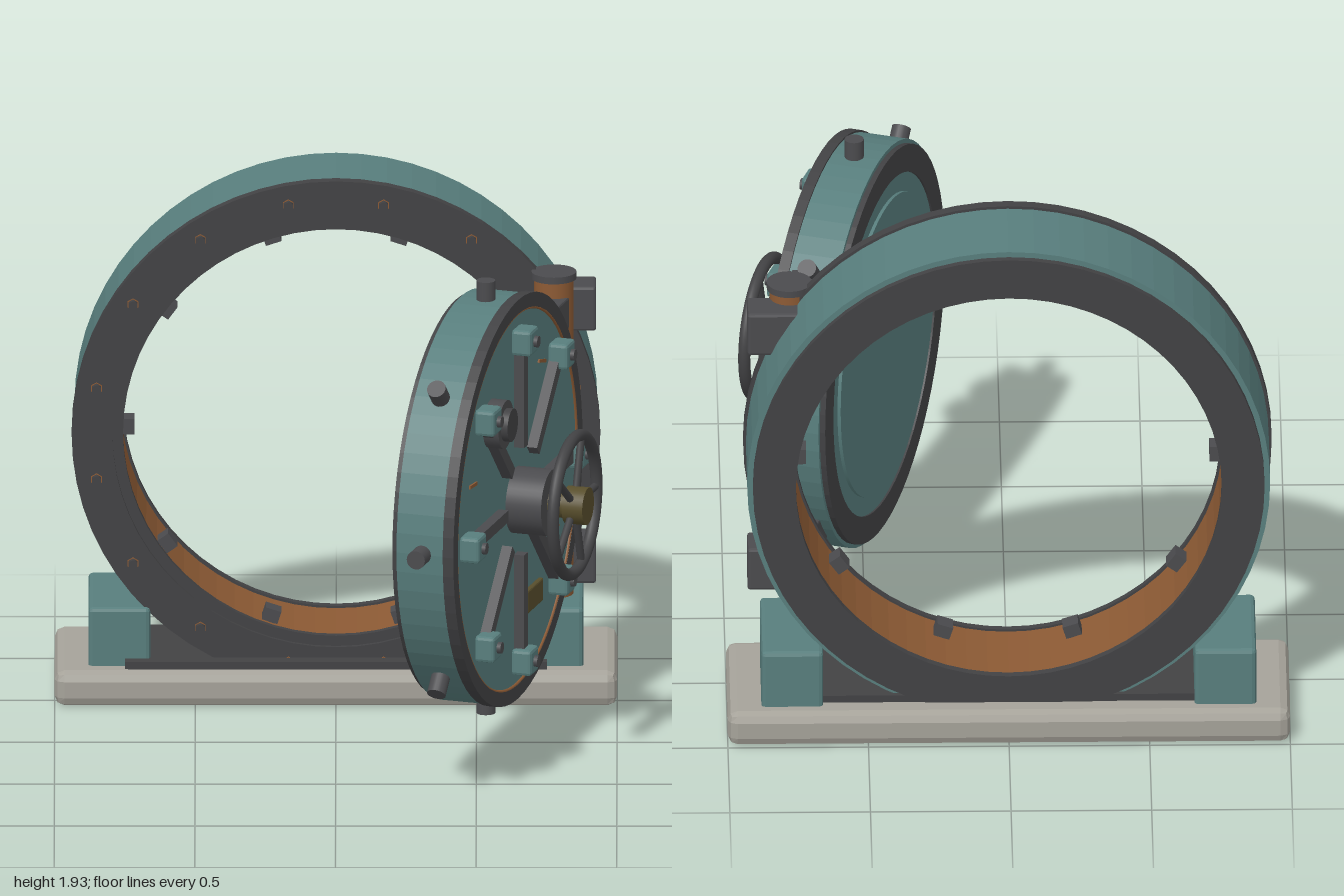
import * as THREE from 'three';
import { RoundedBoxGeometry } from 'three/addons/geometries/RoundedBoxGeometry.js';

const mat = (name, color) => {
  const m = new THREE.MeshStandardMaterial({ color });
  m.name = name;
  return m;
};

export function createModel() {
  const teal = mat('teal paint', 0x587e7d);
  const dark = mat('dark iron', 0x424244);
  const steel = mat('grey steel', 0x4b4b4e);
  const copper = mat('copper', 0x8c5a34);
  const brass = mat('aged brass', 0x584e2c);
  const stone = mat('stone', 0xa5a299);

  const add = (parent, name, geo, material, x = 0, y = 0, z = 0) => {
    const m = new THREE.Mesh(geo, material);
    m.name = name;
    m.position.set(x, y, z);
    parent.add(m);
    return m;
  };
  const group = (parent, name, x, y, z) => {
    const g = new THREE.Group();
    g.name = name;
    g.position.set(x, y, z);
    parent.add(g);
    return g;
  };
  // box with faceted chamfers
  const chamferBox = (w, h, d, r) => {
    const g = new RoundedBoxGeometry(w, h, d, 1, r);
    g.computeVertexNormals();
    return g;
  };
  // faceted solid of revolution about z; profile is [radius, z] pairs
  const turned = (points, segments = 64) => {
    const pts = points.map(([r, z]) => new THREE.Vector2(r, z));
    const g = new THREE.LatheGeometry(pts, segments).rotateX(Math.PI / 2).toNonIndexed();
    g.computeVertexNormals();
    return g;
  };
  const hoop = (r0, r1, z0, z1) => turned([[r0, z0], [r1, z0], [r1, z1], [r0, z1], [r0, z0]]);
  // disc or rod along z, from z0 to z1
  const rod = (r, z0, z1, n = 32) =>
    new THREE.CylinderGeometry(r, r, z1 - z0, n).rotateX(Math.PI / 2).translate(0, 0, (z0 + z1) / 2);

  const model = new THREE.Group();
  model.name = 'vaultDoor';

  // plinth, threshold and feet
  add(model, 'base', chamferBox(2, 0.13, 0.59, 0.035), stone, 0, 0.065, -0.705);
  add(model, 'threshold', new THREE.BoxGeometry(1.5, 0.03, 0.45), dark, 0, 0.142, -0.68);
  for (const s of [-1, 1])
    add(model, 'foot', chamferBox(0.22, 0.23, 0.44, 0.015), teal, s * 0.77, 0.23, -0.715);

  // round frame
  const CY = 0.99;
  const frame = group(model, 'frame', 0, CY, 0);
  add(frame, 'frameBody', hoop(0.785, 0.93, -0.885, -0.54), teal);
  add(frame, 'boreLining', hoop(0.765, 0.79, -0.89, -0.542), copper);
  add(frame, 'frontFlange', hoop(0.795, 0.94, -0.55, -0.51), dark);
  add(frame, 'frontLip', hoop(0.757, 0.8, -0.55, -0.525), dark);
  add(frame, 'backFlange', hoop(0.757, 0.91, -0.91, -0.88), dark);
  for (let i = 0; i < 16; i++) {
    const a = (i + 0.5) * Math.PI / 8;
    const x = 0.868 * Math.cos(a), y = 0.868 * Math.sin(a);
    add(frame, 'flangeWasher', rod(0.022, -0.512, -0.506, 6), copper, x, y);
    add(frame, 'flangeBolt', rod(0.019, -0.51, -0.485, 6), dark, x, y);
  }
  for (let i = 0; i < 10; i++) {
    const a = i * Math.PI / 5;
    add(frame, 'boreLug', new THREE.BoxGeometry(0.05, 0.058, 0.07), steel,
      0.742 * Math.cos(a), 0.742 * Math.sin(a), -0.63).rotation.z = a;
  }

  // hinges: fixed knuckles, and arms that swing with the door
  const PX = 0.775, PZ = -0.49;
  const swing = group(model, 'swingingDoor', PX, CY, PZ);
  swing.rotation.y = 72 * Math.PI / 180;
  for (const y of [-0.47, 0.47]) {
    const hinge = group(model, 'hinge', PX, CY + y, PZ);
    add(hinge, 'hingeBarrel', new THREE.CylinderGeometry(0.07, 0.07, 0.25, 32), copper, 0, 0.01, 0);
    add(hinge, 'hingeCap', new THREE.CylinderGeometry(0.08, 0.08, 0.025, 32), steel, 0, 0.13, 0);
    add(hinge, 'hingeBracket', chamferBox(0.19, 0.165, 0.14, 0.01), steel, 0.055, 0, -0.07);
    add(swing, 'hingeArm', chamferBox(0.26, 0.12, 0.13, 0.008), steel, -0.12, y, 0);
  }

  // door slab; local +z is the outer face
  const door = group(swing, 'door', -0.765, 0, 0.115);
  add(door, 'doorBody', turned([[0, -0.215], [0.735, -0.215], [0.735, -0.03], [0, -0.03]]), teal);
  add(door, 'frontRim', hoop(0.69, 0.742, -0.04, 0), dark);
  add(door, 'frontPanel', rod(0.692, -0.04, -0.008, 96), teal);
  add(door, 'panelBead', new THREE.TorusGeometry(0.688, 0.006, 6, 96), copper, 0, 0, -0.006);
  add(door, 'backRim', hoop(0.62, 0.72, -0.235, -0.21), dark);
  add(door, 'backPanel', rod(0.622, -0.228, -0.21, 64), teal);
  add(door, 'backPlate', rod(0.55, -0.24, -0.21, 64), teal);

  // locking pins, radial bars and clamps
  for (let i = 0; i < 8; i++) {
    const a = i * Math.PI / 4, c = Math.cos(a), s = Math.sin(a);
    const pin = new THREE.CylinderGeometry(0.034, 0.034, 0.12, 20).rotateZ(Math.PI / 2);
    add(door, 'lockingPin', pin, steel, 0.745 * c, 0.745 * s, -0.12).rotation.z = a;
    add(door, 'lockBar', new THREE.BoxGeometry(0.36, 0.044, 0.04), steel,
      0.38 * c, 0.38 * s, 0.01).rotation.z = a;
    add(door, 'clamp', chamferBox(0.095, 0.095, 0.075, 0.012), teal, 0.595 * c, 0.595 * s, 0.026);
    add(door, 'clampStud', rod(0.021, 0.06, 0.078, 12), steel, 0.595 * c, 0.595 * s);
  }

  // round dial at the upper left
  const dial = group(door, 'dial', -0.29, 0.37, 0);
  add(dial, 'dialBase', rod(0.088, -0.01, 0.05), steel);
  add(dial, 'dialKnob', rod(0.06, 0.05, 0.075), dark);

  // hub and hand wheel
  const wheel = group(door, 'handWheel', 0, 0, 0);
  add(wheel, 'hub', rod(0.12, -0.01, 0.125, 40), steel);
  add(wheel, 'shaft', rod(0.05, 0.12, 0.2), brass);
  add(wheel, 'wheelCap', rod(0.068, 0.185, 0.262), brass);
  add(wheel, 'wheelRim', new THREE.TorusGeometry(0.25, 0.022, 12, 64), dark, 0, 0, 0.212);
  for (let i = 0; i < 5; i++) {
    const a = i * Math.PI * 0.4;
    const spoke = new THREE.CylinderGeometry(0.014, 0.014, 0.25, 12).rotateZ(Math.PI / 2);
    add(wheel, 'spoke', spoke, dark, 0.125 * Math.cos(a), 0.125 * Math.sin(a), 0.212).rotation.z = a;
  }

  // brass plate and bare copper scratches
  add(door, 'plate', chamferBox(0.18, 0.085, 0.02, 0.006), brass, 0.175, -0.41, 0);
  for (const [x, y, deg] of [[0.29, 0.43, -15], [-0.5, 0.2, -5], [0.44, -0.25, 25], [-0.27, -0.48, -8]])
    add(door, 'scratch', new THREE.BoxGeometry(0.08, 0.012, 0.008), copper, x, y, -0.005)
      .rotation.z = deg * Math.PI / 180;

  return model;
}
